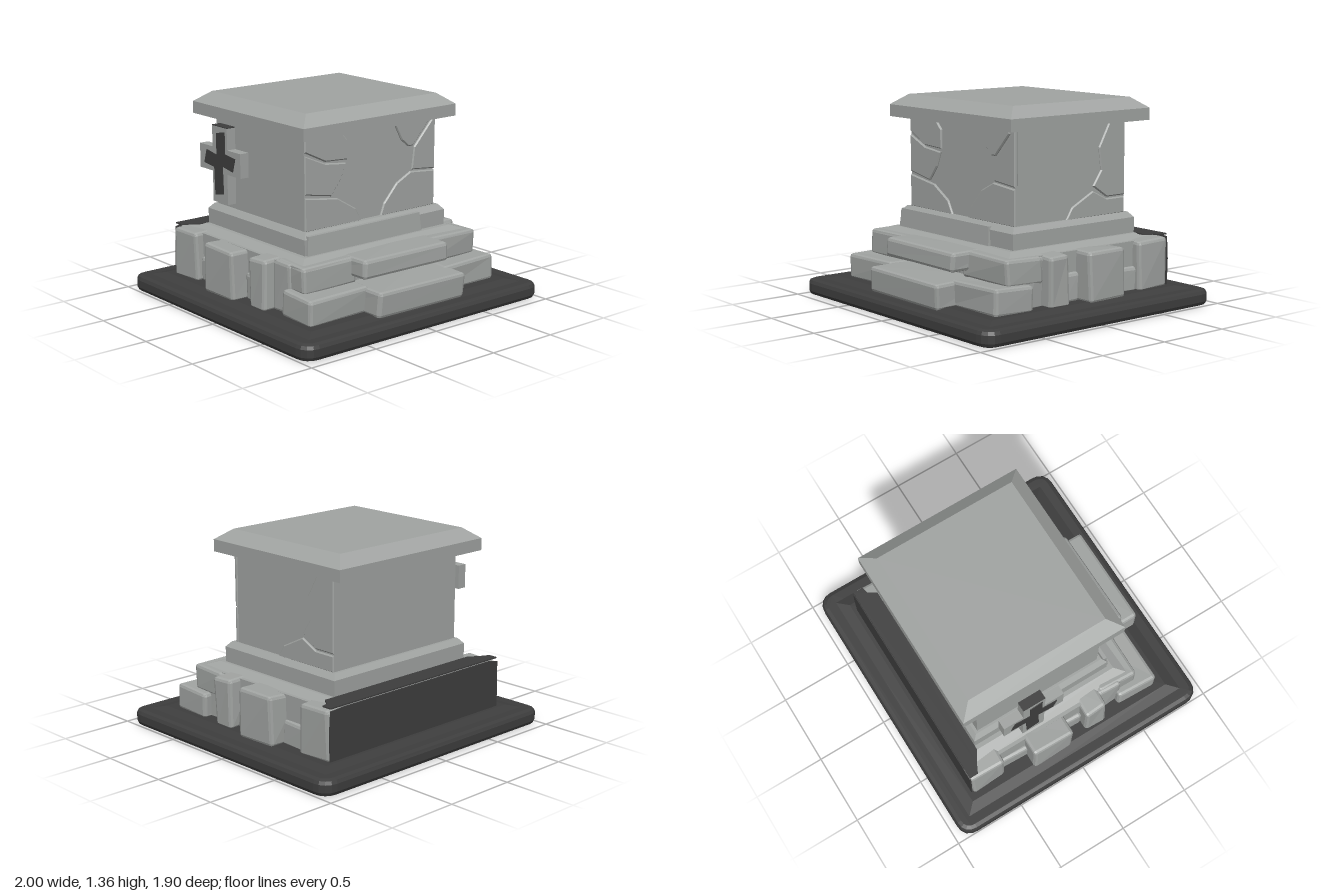
import * as THREE from 'three';
import { RoundedBoxGeometry } from 'three/addons/geometries/RoundedBoxGeometry.js';

export function createModel() {
  const model = new THREE.Group();
  model.name = 'stoneTomb';
  const stone = new THREE.MeshStandardMaterial({ color: 0xa1a4a2, flatShading: true });
  stone.name = 'pale stone';
  const dark = new THREE.MeshStandardMaterial({ color: 0x3e3e3e, flatShading: true });
  dark.name = 'dark stone';

  const add = (name, geo, mat = stone, parent = model) => {
    const mesh = new THREE.Mesh(geo, mat);
    mesh.name = name;
    parent.add(mesh);
    return mesh;
  };

  // Box given by its limits; the top can be drawn in to make a chamfer
  const block = (name, [x0, x1], [y0, y1], [z0, z1], inset = 0, mat = stone, parent = model) => {
    const geo = new THREE.BoxGeometry(x1 - x0, y1 - y0, z1 - z0);
    const p = geo.attributes.position;
    for (let i = 0; i < p.count; i++) {
      if (p.getY(i) > 0) {
        p.setX(i, p.getX(i) - Math.sign(p.getX(i)) * inset);
        p.setZ(i, p.getZ(i) - Math.sign(p.getZ(i)) * inset);
      }
    }
    geo.translate((x0 + x1) / 2, (y0 + y1) / 2, (z0 + z1) / 2);
    geo.computeVertexNormals();
    return add(name, geo, mat, parent);
  };

  // Worn stone: softened box nudged by a rule that depends on position
  const wornStone = (name, [x0, x1], [y0, y1], [z0, z1], radius = 0.022) => {
    const geo = new RoundedBoxGeometry(x1 - x0, y1 - y0, z1 - z0, 1, radius);
    geo.translate((x0 + x1) / 2, (y0 + y1) / 2, (z0 + z1) / 2);
    const p = geo.attributes.position;
    for (let i = 0; i < p.count; i++) {
      const x = p.getX(i), y = p.getY(i), z = p.getZ(i);
      p.setXYZ(i,
        x + 0.006 * Math.sin(9 * y + 13 * z),
        y + 0.006 * Math.sin(11 * x + 8 * z),
        z + 0.006 * Math.sin(10 * x + 14 * y));
    }
    geo.computeVertexNormals();
    return add(name, geo);
  };

  const polygon = (points) => new THREE.Shape(points.map(([x, y]) => new THREE.Vector2(x, y)));

  // Ground slab with rounded corners and edges
  const hx = 0.965, hz = 0.915, r = 0.07;
  const outline = new THREE.Shape();
  outline.moveTo(-hx + r, -hz);
  outline.lineTo(hx - r, -hz);
  outline.quadraticCurveTo(hx, -hz, hx, -hz + r);
  outline.lineTo(hx, hz - r);
  outline.quadraticCurveTo(hx, hz, hx - r, hz);
  outline.lineTo(-hx + r, hz);
  outline.quadraticCurveTo(-hx, hz, -hx, hz - r);
  outline.lineTo(-hx, -hz + r);
  outline.quadraticCurveTo(-hx, -hz, -hx + r, -hz);
  const slab = new THREE.ExtrudeGeometry(outline, {
    depth: 0.05, bevelThickness: 0.03, bevelSize: 0.035, bevelSegments: 2, curveSegments: 4,
  });
  slab.rotateX(-Math.PI / 2).translate(0, 0.03, 0);
  add('groundSlab', slab, dark);
  block('slabCrown', [-0.95, 0.95], [0.1, 0.125], [-0.9, 0.9], 0.12, dark);

  // Foundation and front steps
  block('foundation', [-0.72, 0.72], [0.11, 0.44], [-0.745, 0.55]);
  block('foundationTop', [-0.71, 0.71], [0.435, 0.468], [-0.72, 0.55], 0.09);
  wornStone('lowerStepLeft', [0.34, 0.79], [0.11, 0.285], [0.42, 0.715]);
  wornStone('lowerStepRight', [-0.78, -0.3], [0.11, 0.285], [0.42, 0.715]);
  wornStone('lowerStepMiddle', [-0.345, 0.385], [0.11, 0.28], [0.45, 0.855]);
  wornStone('upperStepLeft', [0.3, 0.74], [0.27, 0.445], [0.3, 0.585]);
  wornStone('upperStepRight', [-0.72, -0.3], [0.27, 0.445], [0.3, 0.585]);
  wornStone('upperStepMiddle', [-0.35, 0.365], [0.325, 0.45], [0.35, 0.715]);

  // Side stones: reach in x, z limits and height
  const sideStones = [
    [0.78, -0.745, -0.49, 0.445],
    [0.745, -0.5, -0.28, 0.28],
    [0.85, -0.3, 0.005, 0.44],
    [0.745, 0, 0.14, 0.3],
    [0.81, 0.135, 0.295, 0.445],
    [0.735, 0.28, 0.46, 0.44],
  ];
  for (const side of [-1, 1]) {
    for (const [reach, z0, z1, top] of sideStones) {
      const xs = side > 0 ? [0.6, reach] : [-reach, -0.6];
      wornStone(side > 0 ? 'leftSideStone' : 'rightSideStone', xs, [0.11, top], [z0, z1]);
    }
  }

  // Dark rear wall face, with ragged ends, and its top ledge
  const rear = polygon([
    [-0.77, 0.11], [0.77, 0.11], [0.775, 0.3], [0.765, 0.448],
    [0.66, 0.455], [-0.68, 0.455], [-0.765, 0.44], [-0.77, 0.25],
  ]);
  const rearWall = new THREE.ExtrudeGeometry(rear, { depth: 0.009, bevelEnabled: false });
  add('rearWall', rearWall.translate(0, 0, -0.755), dark);
  const ledge = polygon([
    [-0.76, 0.75], [0.765, 0.75], [0.765, 0.68], [0.72, 0.67], [0.68, 0.61],
    [-0.62, 0.61], [-0.7, 0.66], [-0.76, 0.69],
  ]);
  const rearLedge = new THREE.ExtrudeGeometry(ledge, { depth: 0.009, bevelEnabled: false });
  add('rearLedge', rearLedge.rotateX(-Math.PI / 2).translate(0, 0.46, 0), dark);

  // Plinth, body and lid
  block('plinth', [-0.59, 0.6], [0.45, 0.57], [-0.61, 0.425]);
  block('plinthChamfer', [-0.59, 0.6], [0.57, 0.605], [-0.61, 0.425], 0.03);
  block('frontLedge', [-0.58, 0.38], [0.46, 0.59], [0.3, 0.445], 0.012);
  block('body', [-0.545, 0.55], [0.59, 1.22], [-0.56, 0.362]);
  block('lidBand', [-0.635, 0.64], [1.21, 1.29], [-0.7, 0.475]);
  block('lidTop', [-0.635, 0.64], [1.29, 1.36], [-0.7, 0.475], 0.092);

  // Broken facing stones left on the body, outlines in the plane of the face
  const facing = (name, points) => {
    const geo = new THREE.ExtrudeGeometry(polygon(points), {
      depth: 0.012, bevelThickness: 0.008, bevelSize: 0.008, bevelOffset: -0.008, bevelSegments: 1,
    });
    return add(name, geo);
  };
  const frontPieces = [
    [[-0.545, 0.6], [-0.08, 0.6], [-0.13, 0.69], [-0.28, 0.78], [-0.545, 0.82]],
    [[-0.545, 0.84], [-0.33, 0.8], [-0.25, 0.9], [-0.21, 1.0], [-0.38, 1.02], [-0.545, 1.09]],
    [[-0.545, 1.11], [-0.38, 1.03], [-0.2, 1.02], [-0.2, 1.15], [-0.26, 1.21], [-0.545, 1.21]],
    [[0.08, 0.6], [0.555, 0.6], [0.555, 0.84], [0.34, 0.86], [0.22, 0.8], [0.11, 0.68]],
    [[0.35, 0.87], [0.555, 0.85], [0.555, 1.21], [0.51, 1.17], [0.37, 1.02]],
    [[0.19, 1.21], [0.26, 1.08], [0.32, 1.03], [0.36, 1.03], [0.5, 1.18], [0.5, 1.21]],
  ];
  for (const points of frontPieces) facing('frontFacingStone', points).position.z = 0.355;

  // On the left side the horizontal coordinate runs towards the back
  const sidePieces = [
    [[0.42, 1.21], [0.33, 1.05], [0.35, 0.9], [0.28, 0.8], [0.4, 0.72], [0.56, 0.72], [0.56, 1.21]],
    [[0.05, 0.6], [0.1, 0.68], [0.28, 0.77], [0.4, 0.71], [0.56, 0.71], [0.56, 0.6]],
  ];
  for (const points of sidePieces) {
    const mesh = facing('sideFacingStone', points);
    mesh.rotation.y = Math.PI / 2;
    mesh.position.x = 0.541;
  }

  // Cross standing off the right side, with a dark ragged inlay
  const cross = new THREE.Group();
  cross.name = 'cross';
  cross.position.set(-0.675, 0.98, -0.255);
  cross.rotation.y = -Math.PI / 2;
  model.add(cross);
  const crossShape = (w, side, top, bottom, arm) => polygon([
    [-w, bottom], [w, bottom], [w, -arm], [side, -arm], [side, arm], [w, arm],
    [w, top], [-w, top], [-w, arm], [-side, arm], [-side, -arm], [-w, -arm],
  ]);
  add('crossBody', new THREE.ExtrudeGeometry(crossShape(0.08, 0.22, 0.22, -0.28, 0.08),
    { depth: 0.065, bevelEnabled: false }), stone, cross);
  const inlay = new THREE.ExtrudeGeometry(crossShape(0.045, 0.155, 0.185, -0.225, 0.042),
    { depth: 0.005, bevelEnabled: false });
  const p = inlay.attributes.position;
  for (let i = 0; i < p.count; i++) {
    p.setX(i, p.getX(i) + 0.014 * Math.sin(40 * p.getY(i)));
    p.setY(i, p.getY(i) + 0.01 * Math.sin(35 * p.getX(i)));
  }
  add('crossInlay', inlay.translate(0, 0, 0.065), dark, cross);
  block('crossTopPatch', [-0.08, 0.08], [0.22, 0.225], [0, 0.065], 0, dark, cross);

  return model;
}
